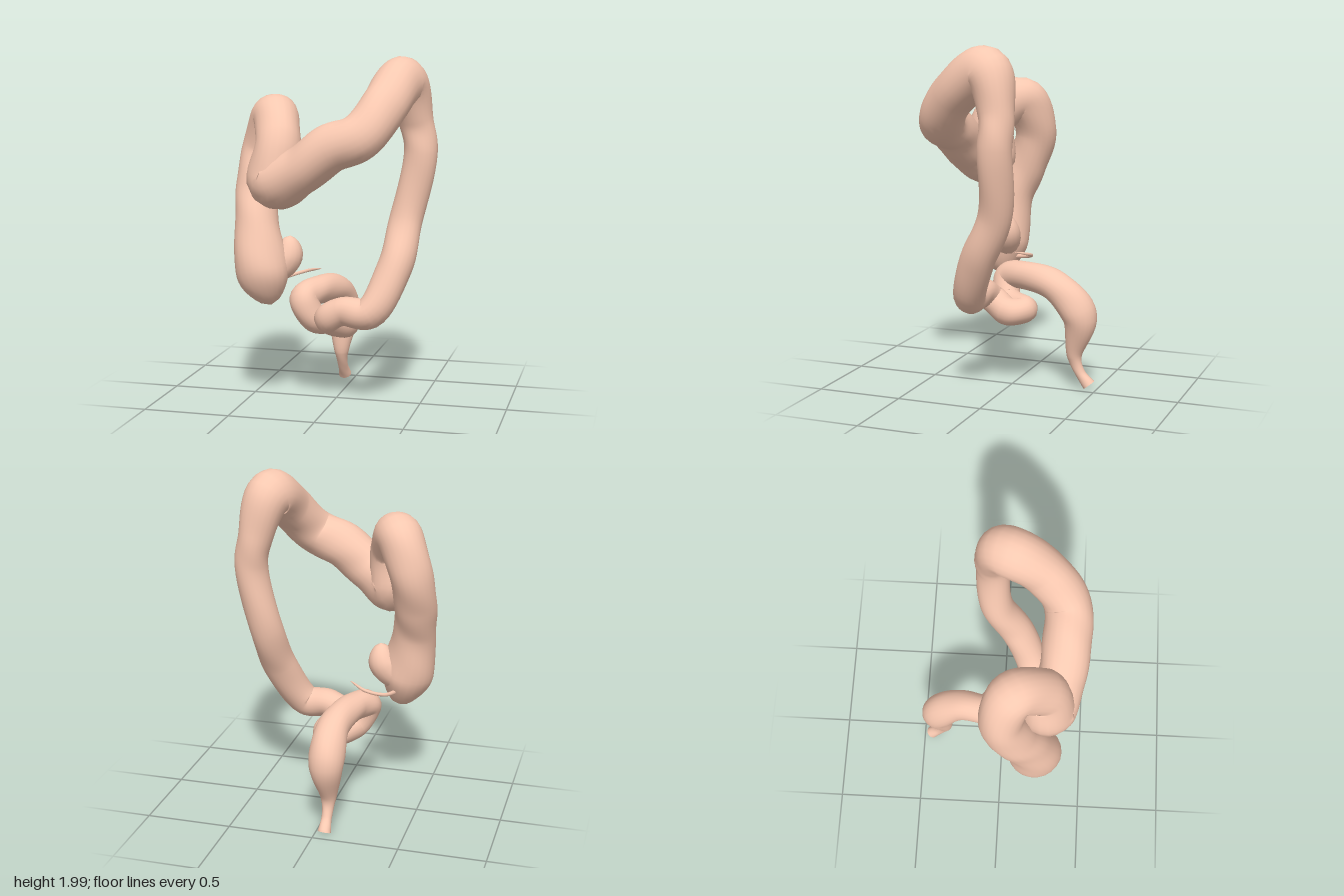
import * as THREE from 'three';

const STEPS = 9;   // rings per control point
const SIDES = 22;

// Each run continues the one before it: rows of x, y, z, radius
const runs = {
  cecum: [[-0.335, 0.59, 0.2, 0.115], [-0.385, 0.8, 0.205, 0.155]],
  ascendingColon: [
    [-0.43, 1.06, 0.16, 0.125], [-0.45, 1.25, 0.08, 0.122], [-0.43, 1.47, 0.01, 0.122]],
  hepaticFlexure: [[-0.345, 1.66, 0.07, 0.13], [-0.275, 1.53, 0.23, 0.128]],
  transverseColon: [
    [-0.285, 1.315, 0.26, 0.16], [-0.13, 1.375, 0.325, 0.135], [0.05, 1.505, 0.345, 0.135],
    [0.22, 1.575, 0.34, 0.13]],
  splenicFlexure: [[0.325, 1.74, 0.21, 0.13], [0.385, 1.86, 0, 0.137]],
  descendingColon: [
    [0.445, 1.64, -0.08, 0.1], [0.475, 1.45, -0.08, 0.096], [0.4, 1.08, -0.055, 0.096],
    [0.36, 0.82, 0.065, 0.1], [0.23, 0.565, 0.17, 0.092]],
  sigmoidColon: [
    [0.08, 0.565, 0.155, 0.083], [-0.015, 0.51, 0.13, 0.082], [0.055, 0.455, 0, 0.08],
    [0, 0.465, -0.08, 0.075], [-0.11, 0.49, 0.07, 0.08], [-0.17, 0.61, 0.09, 0.083]],
  rectum: [
    [-0.12, 0.64, -0.03, 0.083], [-0.06, 0.6, -0.25, 0.092], [-0.055, 0.44, -0.395, 0.102],
    [-0.06, 0.2, -0.365, 0.045], [-0.06, 0.1, -0.4, 0.03], [-0.06, 0.03, -0.455, 0.038]],
};

// Sweeps a circle of changing radius along a smooth path; the first end is rounded shut
function sweep(rows, sides, lumpy) {
  const path = new THREE.CatmullRomCurve3(rows.map(p => new THREE.Vector3(p[0], p[1], p[2])));
  const sizes = new THREE.CatmullRomCurve3(
    rows.map((p, i) => new THREE.Vector3(p[3], i, 0)), false, 'catmullrom', 0.5);
  const count = (rows.length - 1) * STEPS;
  const positions = [], index = [];
  const normal = new THREE.Vector3(0.9, 0.1, 0.4);
  for (let i = 0; i <= count; i++) {
    const t = i / count;
    const centre = path.getPoint(t), tangent = path.getTangent(t);
    normal.addScaledVector(tangent, -normal.dot(tangent)).normalize();
    const side = new THREE.Vector3().crossVectors(tangent, normal);
    const fromTip = 1 - Math.min(i / STEPS, 1);
    const radius = sizes.getPoint(t).x * Math.max(Math.sqrt(1 - fromTip ** 2), 0.02);
    for (let j = 0; j <= sides; j++) {
      const a = (j % sides) / sides * Math.PI * 2;
      const bump = 1 + lumpy * Math.sin(3 * a + i * 0.25) * Math.sin(i * 0.4);
      const p = centre.clone()
        .addScaledVector(normal, Math.cos(a) * radius * bump)
        .addScaledVector(side, Math.sin(a) * radius * bump);
      positions.push(p.x, p.y, p.z);
      if (i < count && j < sides) {
        const k = i * (sides + 1) + j, n = k + sides + 1;
        index.push(k, k + 1, n, k + 1, n + 1, n);
      }
    }
  }
  const geometry = new THREE.BufferGeometry();
  geometry.setAttribute('position', new THREE.Float32BufferAttribute(positions, 3));
  geometry.setIndex(index);
  geometry.computeVertexNormals();
  // Average the normals along the lengthwise seam
  const normals = geometry.attributes.normal;
  for (let i = 0; i <= count; i++) {
    const a = i * (sides + 1), b = a + sides;
    const n = new THREE.Vector3().fromBufferAttribute(normals, a)
      .add(new THREE.Vector3().fromBufferAttribute(normals, b)).normalize();
    normals.setXYZ(a, n.x, n.y, n.z);
    normals.setXYZ(b, n.x, n.y, n.z);
  }
  return geometry;
}

export function createModel() {
  const group = new THREE.Group();
  const material = new THREE.MeshStandardMaterial({ color: 0xf8c8b0, side: THREE.DoubleSide });
  const add = (name, geometry) => {
    const mesh = new THREE.Mesh(geometry, material);
    mesh.name = name;
    group.add(mesh);
  };

  // Large bowel: one continuous sweep, cut into named lengths that share its vertices
  const whole = sweep(Object.values(runs).flat(), SIDES, 0.025);
  const indices = Array.from(whole.index.array);
  let start = 0;
  for (const [name, rows] of Object.entries(runs)) {
    const end = start + rows.length * STEPS * SIDES * 6;
    const part = new THREE.BufferGeometry();
    part.setAttribute('position', whole.attributes.position);
    part.setAttribute('normal', whole.attributes.normal);
    part.setIndex(indices.slice(start, end));
    add(name, part);
    start = end;
  }

  // Short stub of small bowel curling up from the cecum
  add('ileumStub', sweep([
    [-0.235, 0.985, 0.14, 0.07], [-0.255, 0.86, 0.14, 0.088], [-0.36, 0.76, 0.18, 0.09]], 16, 0));

  // Thin appendix, from its free tip to the cecum
  add('appendix', sweep([
    [-0.085, 0.78, 0.015, 0.008], [-0.19, 0.75, -0.04, 0.01], [-0.29, 0.72, 0, 0.011],
    [-0.34, 0.7, 0.12, 0.014]], 8, 0));

  return group;
}
